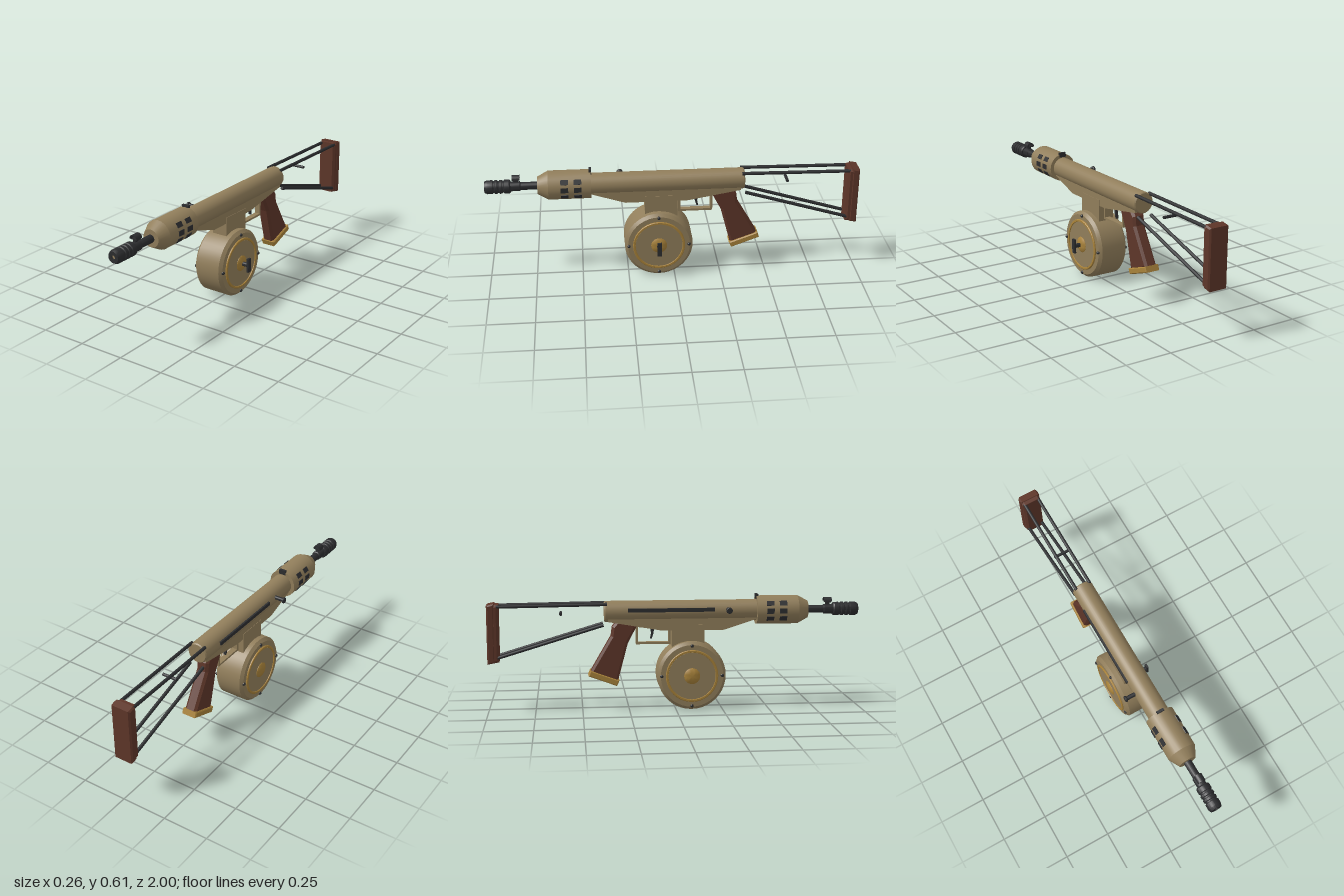
import * as THREE from 'three';
import { toCreasedNormals } from 'three/addons/utils/BufferGeometryUtils.js';

const mat = (name, color) => {
  const m = new THREE.MeshStandardMaterial({ color });
  m.name = name;
  return m;
};

export function createModel() {
  const tan = mat('tan metal', 0x917e5b);
  const brass = mat('brass', 0xa8823a);
  const dark = mat('dark steel', 0x2c2d2f);
  const wood = mat('wood', 0x5e3629);

  const root = new THREE.Group();
  root.name = 'drumFedGun';
  const body = new THREE.Group();
  body.name = 'body';
  body.position.x = -0.016; // the side handle and the key reach out unequally
  root.add(body);

  const add = (name, geo, material, x = 0, y = 0, z = 0, parent = body) => {
    const m = new THREE.Mesh(geo, material);
    m.name = name;
    m.position.set(x, y, z);
    parent.add(m);
    return m;
  };
  const box = (name, material, w, h, d, x, y, z) =>
    add(name, new THREE.BoxGeometry(w, h, d), material, x, y, z);

  // turned part from [radius, position] pairs, along z or x
  const turned = (pts, seg, axis = 'z') => {
    const g = new THREE.LatheGeometry(pts.map(p => new THREE.Vector2(p[0], p[1])), seg);
    if (axis === 'z') g.rotateX(Math.PI / 2);
    else g.rotateZ(-Math.PI / 2);
    return toCreasedNormals(g, 0.45);
  };

  // side profile of [z, y] points given a width along x
  const slab = (pts, width, bevel = 0, holes = []) => {
    const s = new THREE.Shape(pts.map(p => new THREE.Vector2(p[0], p[1])));
    for (const h of holes) s.holes.push(new THREE.Path(h.map(p => new THREE.Vector2(p[0], p[1]))));
    const depth = width - 2 * bevel;
    const g = new THREE.ExtrudeGeometry(s, {
      depth, bevelEnabled: bevel > 0, bevelSize: bevel, bevelThickness: bevel,
      bevelOffset: -bevel, bevelSegments: 1,
    });
    g.translate(0, 0, -depth / 2);
    g.rotateY(-Math.PI / 2);
    return g;
  };

  const rod = (name, a, b, r, material) => {
    const p = new THREE.Vector3(...a), q = new THREE.Vector3(...b);
    const m = add(name, new THREE.CylinderGeometry(r, r, p.distanceTo(q), 12), material);
    m.position.copy(p).lerp(q, 0.5);
    m.quaternion.setFromUnitVectors(new THREE.Vector3(0, 1, 0), q.sub(p).normalize());
    return m;
  };

  const AY = 0.53; // height of the bore

  // receiver tube and vented shroud
  add('receiverTube', turned([[0, -0.38], [0.052, -0.38], [0.057, -0.374], [0.057, 0.45], [0, 0.45]], 32), tan, 0, AY);
  add('shroud', turned([[0, 0.44], [0.0775, 0.44], [0.0775, 0.665], [0.047, 0.722], [0, 0.722]], 24), tan, 0, AY);
  for (const side of [0, Math.PI]) {
    for (const a of [-0.56, 0, 0.56]) {
      for (const z of [0.51, 0.58]) {
        const v = box('shroudVent', dark, 0.008, 0.027, 0.04,
          Math.cos(side + a) * 0.0755, AY + Math.sin(side + a) * 0.0755, z);
        v.rotation.z = side + a;
      }
    }
  }

  // barrel and ribbed muzzle
  add('barrel', turned([[0, 0.71], [0.021, 0.71], [0.021, 0.81], [0.026, 0.814], [0.026, 0.87], [0, 0.87]], 20), dark, 0, AY);
  const muzzle = [[0, 0.863], [0.032, 0.863], [0.037, 0.87]];
  for (const z of [0.895, 0.92, 0.945]) muzzle.push([0.037, z], [0.032, z + 0.003], [0.032, z + 0.01], [0.037, z + 0.013]);
  muzzle.push([0.037, 0.985], [0.03, 1], [0.011, 1], [0.011, 0.99], [0, 0.99]);
  add('muzzle', turned(muzzle, 20), dark, 0, AY);
  add('boreFace', new THREE.CircleGeometry(0.0108, 16), tan, 0, AY, 0.9915);

  // sights
  box('frontSightBase', dark, 0.016, 0.03, 0.022, 0, 0.562, 0.834);
  box('frontSightPost', dark, 0.005, 0.022, 0.008, 0, 0.58, 0.834);
  const arch = new THREE.Shape();
  arch.absarc(0, 0, 0.022, 0, Math.PI, false);
  arch.absarc(0, 0, 0.016, Math.PI, 0, true);
  add('frontSightHood', new THREE.ExtrudeGeometry(arch, { depth: 0.042, bevelEnabled: false, curveSegments: 10 }),
    dark, 0, 0.572, 0.813);
  box('frontSightBridge', dark, 0.042, 0.006, 0.03, 0, 0.57, 0.834);
  box('rearSight', dark, 0.04, 0.026, 0.014, 0, 0.604, 0.443);

  // lower receiver, magazine well, trigger and guard
  add('lowerReceiver', slab([[0.44, 0.485], [0.26, 0.428], [-0.07, 0.428], [-0.36, 0.478], [-0.36, 0.51], [0.44, 0.51]], 0.084), tan);
  box('magazineWell', tan, 0.088, 0.12, 0.175, 0, 0.4, 0.068);
  add('triggerGuard', slab([[-0.025, 0.352], [-0.025, 0.435], [-0.21, 0.455], [-0.21, 0.352]], 0.03, 0,
    [[[-0.036, 0.363], [-0.199, 0.363], [-0.199, 0.445], [-0.036, 0.425]]]), tan);
  add('trigger', slab([[-0.112, 0.45], [-0.135, 0.45], [-0.128, 0.41], [-0.134, 0.38], [-0.125, 0.38], [-0.115, 0.41]], 0.014), dark);

  // cocking slot and handle on the right side
  box('cockingSlot', dark, 0.014, 0.02, 0.465, -0.056, 0.54, -0.022);
  add('cockingHandle', turned([[0, -0.114], [0.014, -0.114], [0.017, -0.111], [0.017, -0.105], [0.011, -0.1],
    [0.011, -0.05], [0, -0.05]], 16, 'x'), dark, 0, 0.54, 0.282);

  // drum magazine
  const drum = new THREE.Group();
  drum.name = 'drumMagazine';
  drum.position.set(0, 0.187, 0.085);
  body.add(drum);
  add('drumBody', turned([[0, -0.087], [0.168, -0.087], [0.184, -0.071], [0.184, 0.071], [0.168, 0.087], [0, 0.087]], 40, 'x'),
    tan, 0, 0, 0, drum);
  for (const s of [1, -1]) {
    const face = new THREE.Group();
    face.name = 'drumFace';
    if (s < 0) face.rotation.y = Math.PI;
    drum.add(face);
    add('drumRing', turned([[0.141, 0.085], [0.141, 0.092], [0.138, 0.095], [0.129, 0.095], [0.126, 0.085]], 40, 'x'),
      brass, 0, 0, 0, face);
    add('drumPlate', turned([[0.127, 0.085], [0.127, 0.091], [0, 0.091]], 40, 'x'), tan, 0, 0, 0, face);
    add('drumHub', turned([[0.044, 0.088], [0.043, 0.093], [0.034, 0.099], [0.02, 0.103], [0, 0.105]], 24, 'x'),
      brass, 0, 0, 0, face);
    for (let i = 0; i < 4; i++) {
      const a = i * Math.PI / 2;
      add('drumRivet', turned([[0.009, 0.08], [0.009, 0.09], [0.005, 0.095], [0, 0.096]], 10, 'x'),
        dark, 0, Math.sin(a) * 0.163, Math.cos(a) * 0.163, face);
    }
  }
  add('keyShaft', turned([[0.012, 0.1], [0.012, 0.138], [0, 0.138]], 14, 'x'), dark, 0, 0, 0, drum);
  add('keyBar', new THREE.BoxGeometry(0.011, 0.078, 0.024), dark, 0.1385, 0, 0, drum);

  // pistol grip with brass foot
  add('pistolGrip', slab([[-0.205, 0.455], [-0.225, 0.48], [-0.31, 0.485], [-0.338, 0.45], [-0.345, 0.4], [-0.458, 0.205],
    [-0.31, 0.152], [-0.255, 0.36]], 0.07, 0.013), wood);
  add('gripFoot', slab([[-0.302, 0.16], [-0.315, 0.13], [-0.468, 0.186], [-0.456, 0.216]], 0.086, 0.005), brass);

  // skeleton stock
  for (const s of [1, -1]) {
    rod('upperStockRod', [s * 0.04, 0.573, -0.365], [s * 0.04, 0.566, -0.95], 0.009, dark);
    rod('lowerStockRod', [s * 0.04, 0.462, -0.385], [s * 0.04, 0.292, -0.95], 0.009, dark);
  }
  rod('stockCrossbar', [-0.042, 0.522, -0.61], [0.042, 0.522, -0.61], 0.008, dark);
  add('buttFront', slab([[-0.938, 0.27], [-0.938, 0.577], [-0.975, 0.577], [-0.975, 0.265]], 0.104, 0.012), wood);
  add('buttPad', slab([[-0.96, 0.268], [-0.96, 0.583], [-1, 0.575], [-1, 0.26]], 0.112, 0.008), wood);

  return root;
}
